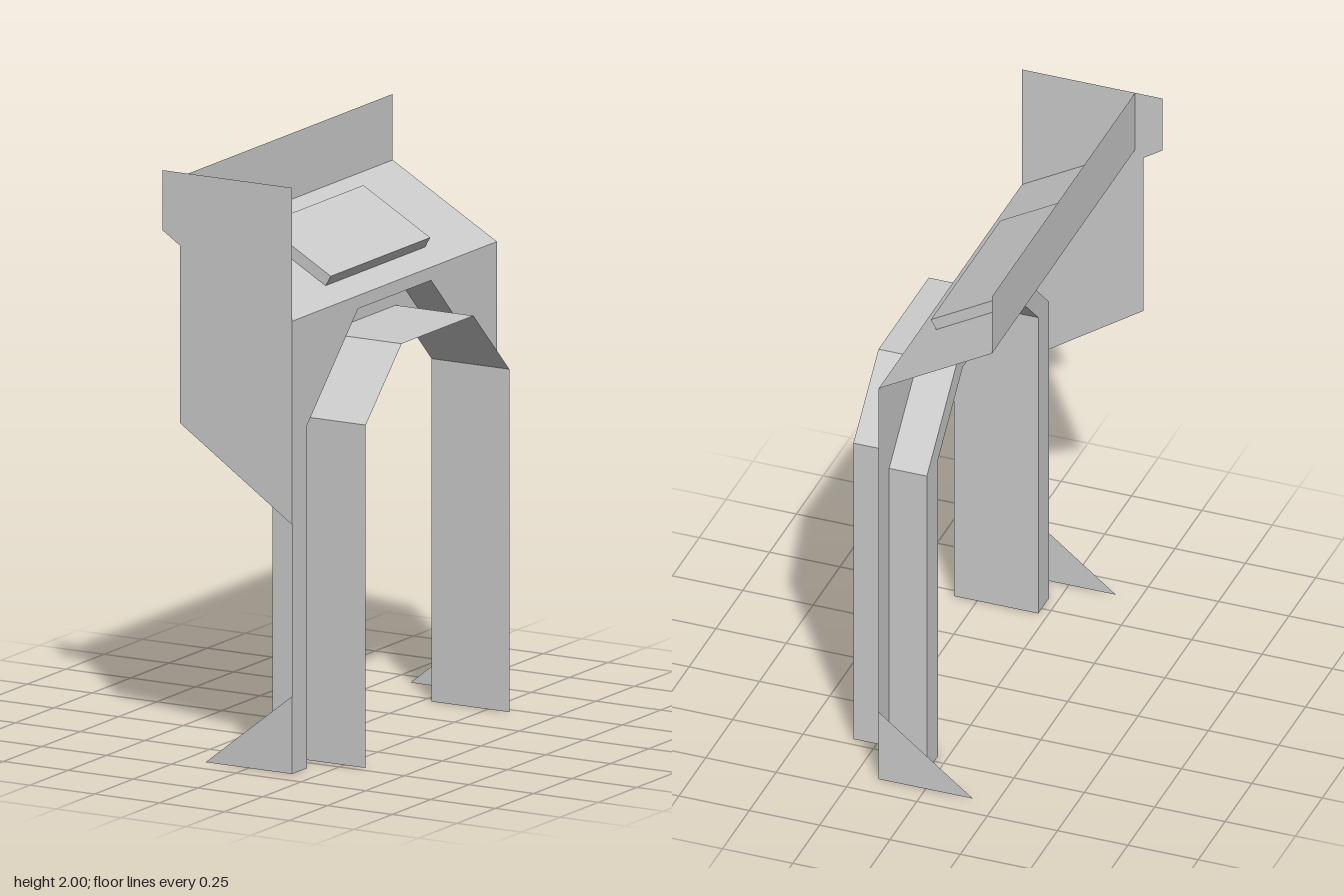
import * as THREE from 'three';

const material = new THREE.MeshStandardMaterial({ color: 0xcccccc, side: THREE.DoubleSide, flatShading: true });

const FRONT = 0.167, BACK = -0.235, HALF = 0.667, RECESS = 0.033, LIP = 0.333;

// Arch outlines as [z, y], running from one foot over the top to the other
const mirrorPath = half => [...half, ...half.map(([z, y]) => [-z, y]).reverse()];
const outerArch = mirrorPath([[0.57, 0], [0.57, 1.17], [0.238, 1.5]]);
const innerArch = mirrorPath([[0.468, 0], [0.468, 1.17], [0.234, 1.4]]);

const toShape = points => new THREE.Shape(points.map(([a, b]) => new THREE.Vector2(a, b)));

export function createModel() {
  const model = new THREE.Group();

  const add = (name, geometry) => {
    const mesh = new THREE.Mesh(geometry, material);
    mesh.name = name;
    model.add(mesh);
    return mesh;
  };

  // Flat plate in the x-y plane at a given z
  const sidePlate = (name, points, z) =>
    add(name, new THREE.ShapeGeometry(toShape(points)).translate(0, 0, z));

  // Flat plate facing +x at a given x, outlined in [z, y]
  const facePlate = (name, points, x) =>
    add(name, new THREE.ShapeGeometry(toShape(points.map(([z, y]) => [-z, y]))).rotateY(Math.PI / 2).translate(x, 0, 0));

  // Folded sheet following a [z, y] path between two x positions
  const foldedSheet = (name, path, x0, x1) => {
    const geometry = new THREE.PlaneGeometry(1, 1, path.length - 1, 1);
    const position = geometry.attributes.position;
    for (let i = 0; i < position.count; i++) {
      const [z, y] = path[i % path.length];
      position.setXYZ(i, i < path.length ? x1 : x0, y, z);
    }
    const flat = geometry.toNonIndexed();
    flat.computeVertexNormals();
    return add(name, flat);
  };

  // Front face with its arched opening, and the stepped frame of the opening
  facePlate('frontFace', [[HALF, 0], [HALF, 1.545], [-HALF, 1.545], [-HALF, 0], ...[...outerArch].reverse()], FRONT);
  foldedSheet('archRecessWall', outerArch, RECESS, FRONT);
  facePlate('archRecessFloor', [...outerArch, ...[...innerArch].reverse()], RECESS);
  foldedSheet('archLining', innerArch, RECESS, LIP);

  // Sloping shelf and the upright board behind it
  foldedSheet('backBoard', [[HALF, 0], [-HALF, 0]], 0, 0).geometry =
    new THREE.PlaneGeometry(HALF * 2, 0.225).rotateY(Math.PI / 2).translate(BACK, 1.8875, 0);
  const slope = Math.atan2(0.23, FRONT - BACK);
  const shelf = add('slopingShelf',
    new THREE.PlaneGeometry(Math.hypot(0.23, FRONT - BACK), HALF * 2).rotateX(-Math.PI / 2));
  shelf.position.set((FRONT + BACK) / 2, 1.66, 0);
  shelf.rotation.z = -slope;

  // Raised slab lying on the shelf
  const slab = add('raisedSlab', new THREE.BoxGeometry(0.297, 0.04, 0.648).translate(0, 0.02, 0));
  slab.position.set(-0.036, 1.661, 0);
  slab.rotation.z = -slope;

  // Single side panel
  sidePlate('sidePanel', [[-LIP, 2], [-LIP, 1.795], [-0.265, 1.75], [-0.265, 1.145], [FRONT, 0.85], [FRONT, 2]], HALF);

  // Triangular feet on both sides
  for (const side of [1, -1]) {
    sidePlate(side > 0 ? 'leftFoot' : 'rightFoot', [[-0.167, 0], [FRONT, 0], [FRONT, 0.265]], side * HALF);
  }

  return model;
}
